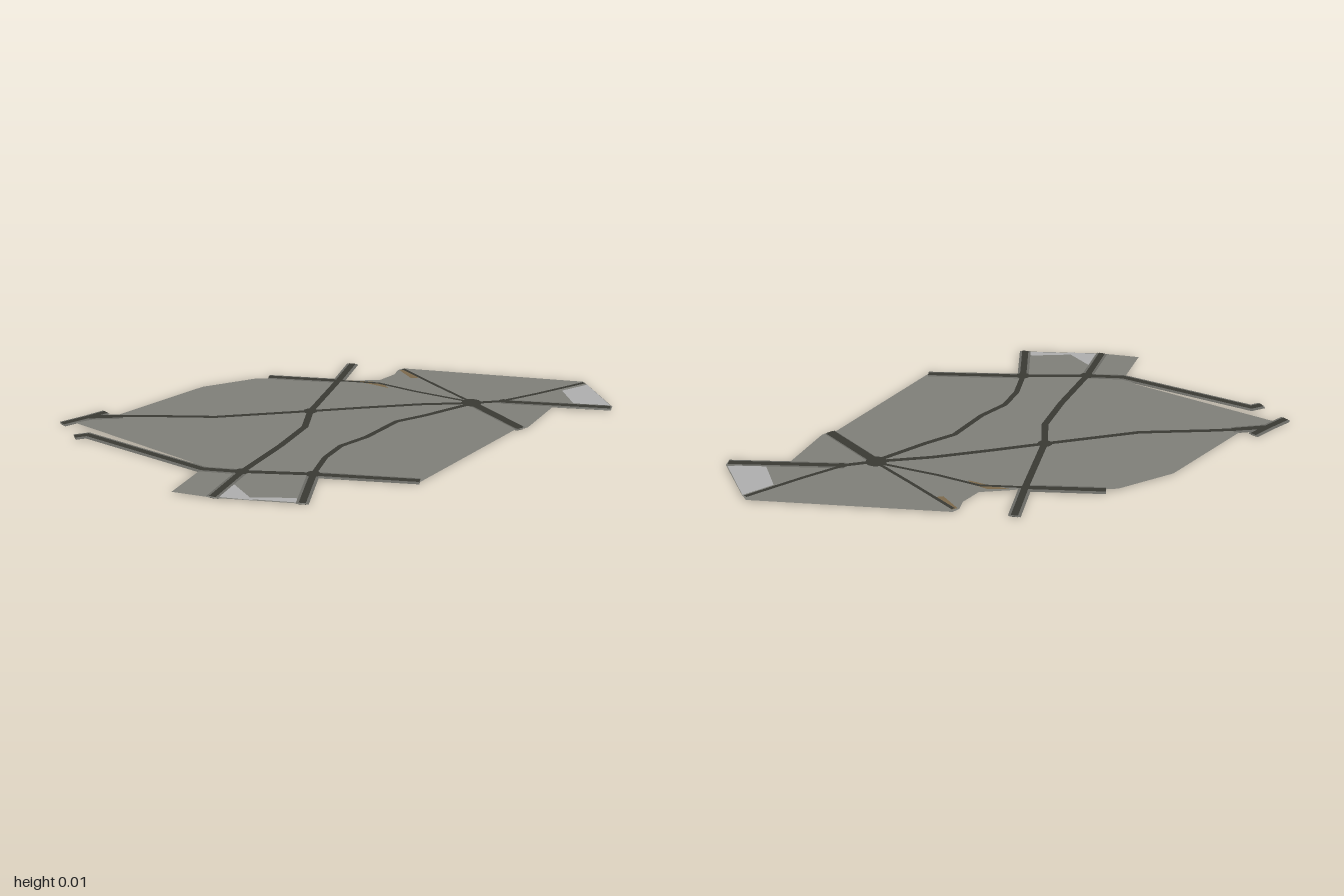
import * as THREE from 'three';

const mat = (name, color) => {
  const m = new THREE.MeshStandardMaterial({ color, side: THREE.DoubleSide });
  m.name = name;
  return m;
};

export function createModel() {
  const root = new THREE.Group();
  const stone = mat('warm grey ground', 0x80807a);
  const pale = mat('pale paving', 0xb0b0b0);
  const earth = mat('brown earth', 0x7d6a4c);
  const kerb = mat('grey shoulder', 0x6c6c66);
  const asphalt = mat('dark asphalt', 0x3a3a34);
  const MID = 0.004;

  // Flat plate in the x-z plane
  const plate = (name, pts, material, y) => {
    const shape = new THREE.Shape(pts.map(([x, z]) => new THREE.Vector2(x, -z)));
    const geo = new THREE.ShapeGeometry(shape).rotateX(-Math.PI / 2);
    const mesh = new THREE.Mesh(geo, material);
    mesh.name = name;
    mesh.position.y = y;
    root.add(mesh);
  };
  // The same plate on the upper and lower face of the ground
  const both = (name, pts, material, lift) => {
    plate(name + 'Top', pts, material, MID + lift);
    plate(name + 'Bottom', pts, material, MID - lift);
  };
  // Outline of a mitred strip that follows a path
  const strip = (path, width) => {
    const p = path.map(([x, z]) => new THREE.Vector2(x, z));
    const left = [], right = [];
    p.forEach((c, i) => {
      const a = c.clone().sub(p[Math.max(i - 1, 0)]).normalize();
      const b = p[Math.min(i + 1, p.length - 1)].clone().sub(c).normalize();
      const t = a.clone().add(b).normalize();
      const ref = a.lengthSq() ? a : b;
      const h = width / 2 / Math.max(0.5, t.dot(ref));
      left.push([c.x - t.y * h, c.y + t.x * h]);
      right.unshift([c.x + t.y * h, c.y - t.x * h]);
    });
    return [...left, ...right];
  };

  // Ground sheet
  plate('ground', [
    [-0.95, -0.16], [-0.8, -0.215], [-0.48, -0.465], [-0.27, -0.53], [-0.22, -0.525],
    [0.03, -0.465], [0.08, -0.465], [0.19, -0.455], [0.255, -0.51], [0.275, -0.555],
    [0.3, -0.57], [0.95, -0.345], [0.96, -0.305], [0.995, -0.08], [0.98, -0.045],
    [0.775, -0.1], [0.645, 0.08], [0.595, 0.095], [0.19, 0.505], [-0.14, 0.435],
    [-0.17, 0.465], [-0.205, 0.633], [-0.495, 0.55], [-0.63, 0.485], [-0.525, 0.315],
    [-0.55, 0.25],
  ], stone, MID);

  // Paved and earth patches
  both('eastPaving', [[0.85, -0.26], [0.958, -0.31], [0.99, -0.09], [0.862, -0.115]], pale, 0.001);
  both('southPaving', [[-0.425, 0.445], [-0.37, 0.585], [-0.23, 0.585], [-0.215, 0.625], [-0.485, 0.545]], pale, 0.001);
  both('northEarth', [[0.08, -0.46], [0.16, -0.44], [0.2, -0.4], [0.21, -0.365], [0.15, -0.415]], earth, 0.001);
  both('northEastEarth', [[0.28, -0.55], [0.3, -0.555], [0.345, -0.46], [0.31, -0.46]], earth, 0.001);

  // Wide road ends with grey shoulders
  const shouldered = [
    [[-0.995, -0.152], [-0.91, -0.2], [-0.84, -0.245]],
    [[-0.9, -0.2], [-0.78, -0.195]],
    [[-0.95, -0.025], [-0.905, -0.035], [-0.52, 0.315], [-0.39, 0.355]],
    [[-0.225, -0.535], [0.035, -0.46]],
    [[0.11, -0.64], [0.035, -0.465]],
    [[0.6, -0.175], [0.985, -0.068]],
    [[0.49, -0.17], [0.617, 0.09]],
    [[-0.155, 0.405], [0.19, 0.5]],
    [[-0.39, 0.355], [-0.5, 0.545]],
    [[-0.155, 0.405], [-0.215, 0.63]],
  ];
  shouldered.forEach((path, i) => {
    both('shoulder' + i, strip(path, 0.042), kerb, 0.002);
    both('roadEnd' + i, strip(path, 0.024), asphalt, 0.003);
  });

  // Road network: width, then path
  const roads = [
    [0.02, [[-0.87, -0.205], [-0.72, -0.19], [-0.45, -0.147], [-0.105, -0.162], [0.08, -0.172], [0.3, -0.18], [0.49, -0.17], [0.6, -0.175]]],
    [0.015, [[0.6, -0.175], [0.75, -0.235], [0.95, -0.325]]],
    [0.013, [[0.49, -0.18], [0.4, -0.35], [0.295, -0.555]]],
    [0.013, [[0.49, -0.18], [0.3, -0.315], [0.18, -0.415], [0.035, -0.46]]],
    [0.024, [[0.035, -0.465], [-0.105, -0.16], [-0.14, -0.015], [-0.24, 0.145], [-0.39, 0.355]]],
    [0.024, [[-0.39, 0.355], [-0.155, 0.405]]],
    [0.02, [[-0.155, 0.405], [-0.1, 0.27], [-0.035, 0.175], [0.065, 0.105], [0.19, -0.025], [0.3, -0.07], [0.49, -0.165]]],
    [0.034, [[0.485, -0.18], [0.615, 0.085]]],
  ];
  roads.forEach(([w, path], i) => both('road' + i, strip(path, w), asphalt, 0.0035));

  // Junctions
  [[-0.105, -0.162, 0.026], [0.49, -0.172, 0.038], [-0.39, 0.355, 0.026], [-0.155, 0.405, 0.026], [0.61, -0.175, 0.018]]
    .forEach(([x, z, r], i) => {
      const ring = Array.from({ length: 10 }, (_, k) =>
        [x + r * Math.cos(k * Math.PI / 5), z + r * Math.sin(k * Math.PI / 5)]);
      both('junction' + i, ring, asphalt, 0.004);
    });

  return root;
}
